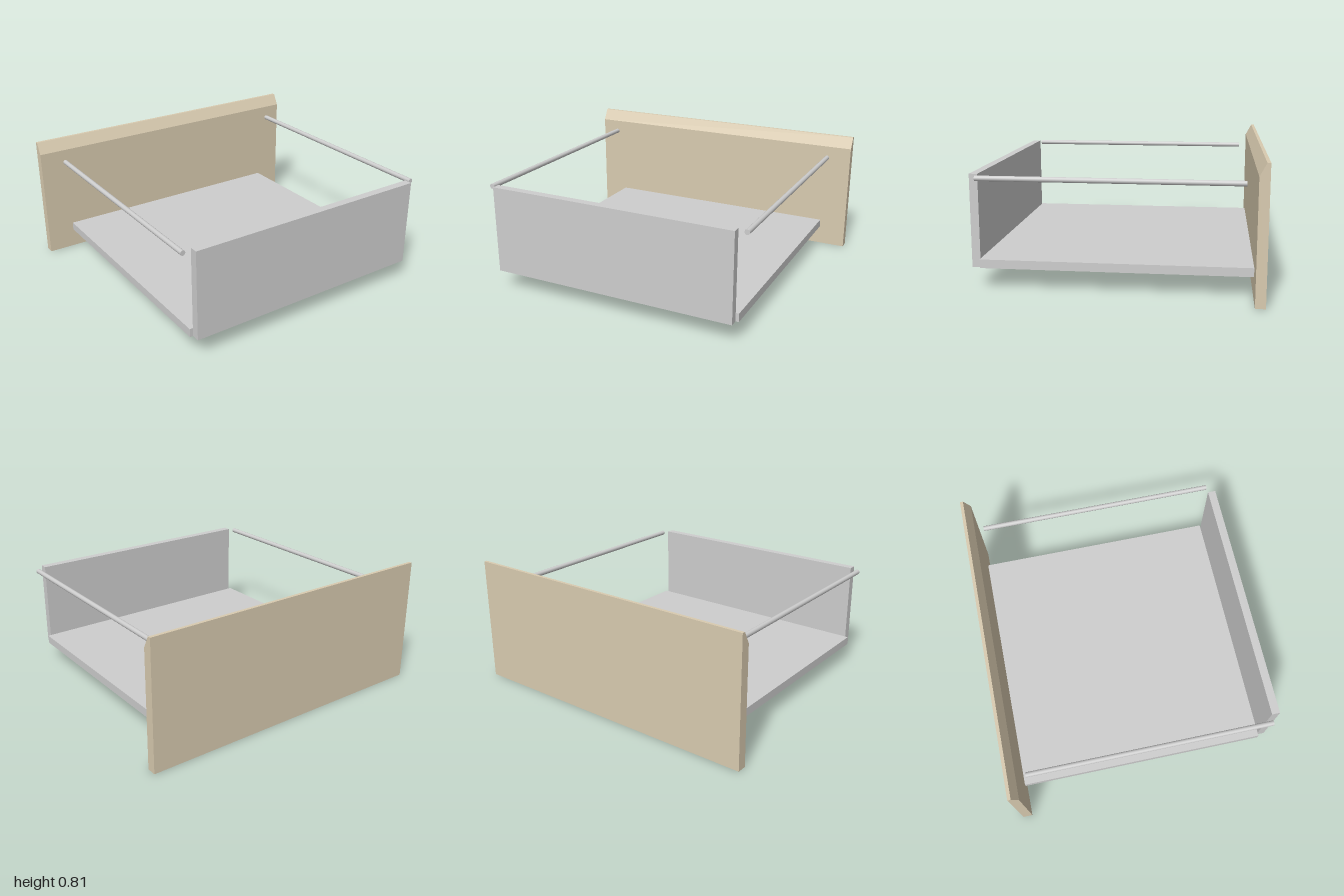
import * as THREE from 'three';

export function createModel() {
  const model = new THREE.Group();
  const wood = new THREE.MeshStandardMaterial({ color: 0xd9cbb0 });
  wood.name = 'light wood';
  const grey = new THREE.MeshStandardMaterial({ color: 0xcecece });
  grey.name = 'light grey';

  const add = (name, geometry, material, x, y, z) => {
    const mesh = new THREE.Mesh(geometry, material);
    mesh.name = name;
    mesh.position.set(x, y, z);
    model.add(mesh);
    return mesh;
  };

  // Wooden panel: side profile with a bevelled top inner edge, extruded along x
  const profile = new THREE.Shape([
    [0.86, 0], [0.86, 0.81], [0.84, 0.81], [0.8, 0.735], [0.8, 0],
  ].map(([depth, y]) => new THREE.Vector2(depth, y)));
  const panel = new THREE.ExtrudeGeometry(profile, { depth: 2, bevelEnabled: false });
  panel.translate(0, 0, -1).rotateY(Math.PI / 2);
  add('woodenPanel', panel, wood, 0, 0, 0);

  // Drawer floor and opposite end board
  add('drawerFloor', new THREE.BoxGeometry(1.64, 0.053, 1.605), grey, 0, 0.1515, 0.0025);
  add('endBoard', new THREE.BoxGeometry(1.6, 0.562, 0.051), grey, 0, 0.406, 0.8305);

  // Side rails, one on each side
  for (const [side, name] of [[1, 'leftRail'], [-1, 'rightRail']]) {
    const rail = new THREE.CylinderGeometry(0.016, 0.016, 1.55, 12);
    rail.rotateX(Math.PI / 2);
    add(name, rail, grey, side * 0.85, 0.67, 0.03);
  }
  return model;
}
